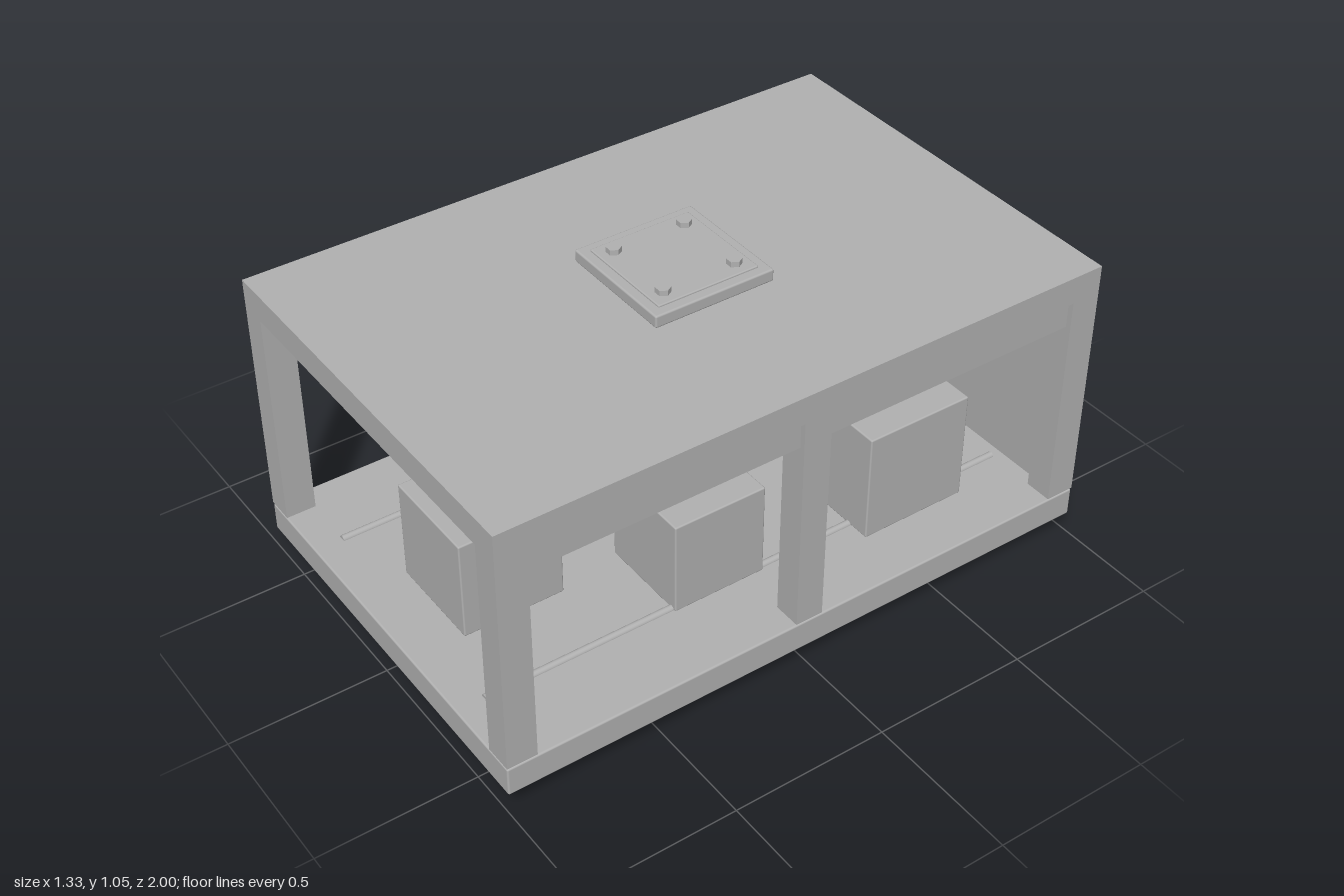
import * as THREE from 'three';
import { RoundedBoxGeometry } from 'three/addons/geometries/RoundedBoxGeometry.js';

export function createModel() {
  const model = new THREE.Group();
  const grey = new THREE.MeshStandardMaterial({ color: 0xb2b2b2 });
  grey.name = 'grey';

  const add = (name, geometry, x, y, z, parent = model) => {
    const mesh = new THREE.Mesh(geometry, grey);
    mesh.name = name;
    mesh.position.set(x, y, z);
    parent.add(mesh);
    return mesh;
  };
  // Box from its minimum and maximum on each axis, with optional rounded edges
  const box = (name, [x0, x1], [y0, y1], [z0, z1], r = 0, parent = model) => {
    const size = [x1 - x0, y1 - y0, z1 - z0];
    const geometry = r ? new RoundedBoxGeometry(...size, 2, r) : new THREE.BoxGeometry(...size);
    return add(name, geometry, (x0 + x1) / 2, (y0 + y1) / 2, (z0 + z1) / 2, parent);
  };

  const W = 0.663, IN = 0.573, FLOOR = 0.166, CEIL = 0.888;

  // Base, roof and back wall
  box('base', [-W, W], [0.07, FLOOR], [-1, 1], 0.006);
  box('roof', [-W, W], [CEIL, 0.977], [-1, 1]);
  box('backWall', [-IN, IN], [0.17, CEIL], [-1, -0.94]);

  for (const side of [-1, 1]) {
    const span = (a, b) => (side > 0 ? [a, b] : [-b, -a]);
    // Posts, standing on a narrow seam above the base
    for (const [name, z] of [['frontPost', [0.905, 1]], ['middlePost', [-0.045, 0.045]], ['backPost', [-1, -0.905]]]) {
      box(name, span(IN, W), [0.17, CEIL], z);
      box(name + 'Foot', span(IN + 0.006, W - 0.006), [0.16, 0.17], [z[0] + 0.006, z[1] - 0.006]);
    }
    // Upper side rails between the posts
    box('frontSideRail', span(0.59, 0.645), [0.797, 0.872], [0.045, 0.905]);
    box('backSideRail', span(0.59, 0.645), [0.797, 0.872], [-0.905, -0.045]);
    // Half-sunk floor track
    const track = add('floorTrack', new THREE.CylinderGeometry(0.012, 0.012, 1.82, 16), side * 0.4, 0.165, 0);
    track.rotation.x = Math.PI / 2;
  }
  box('backWallFoot', [-IN, IN], [0.16, 0.17], [-0.994, -0.946]);

  // Round ceiling fitting
  const lamp = [[0, 0.853], [0.09, 0.853], [0.097, 0.857], [0.1, 0.863], [0.1, 0.876], [0.09, 0.88], [0.09, 0.889]];
  add('ceilingDisc', new THREE.LatheGeometry(lamp.map(([x, y]) => new THREE.Vector2(x, y)), 48), 0, 0, 0);

  // Cube crates, each with a handle on the back: centre x, front z, edge length
  for (const [x, z, s] of [[-0.3, 0.42, 0.38], [0, 0.83, 0.33], [0.3, -0.35, 0.363], [0.265, 0.29, 0.31], [-0.27, -0.315, 0.3]]) {
    const crate = new THREE.Group();
    crate.name = 'crate';
    crate.position.set(x, FLOOR, z - s / 2);
    box('crateBody', [-s / 2, s / 2], [0, s], [-s / 2, s / 2], 0.005, crate);
    box('crateHandle', [-0.36 * s, 0.36 * s], [0.43 * s, 0.57 * s], [-s / 2 - 0.013, -s / 2 + 0.005], 0.003, crate);
    model.add(crate);
  }

  // Bolted mounting plates above and below
  for (const top of [true, false]) {
    const mount = new THREE.Group();
    mount.name = top ? 'topMount' : 'bottomMount';
    mount.position.y = top ? 0.977 : 0.07;
    if (!top) mount.rotation.x = Math.PI;
    box('mountNeck', [-0.185, 0.185], [-0.005, 0.012], [-0.185, 0.185], 0, mount);
    box('mountPlate', [-0.199, 0.199], [0.007, 0.047], [-0.199, 0.199], 0.006, mount);
    box('mountPad', [-0.168, 0.168], [0.04, 0.053], [-0.168, 0.168], 0.004, mount);
    for (const x of [-0.12, 0.12]) for (const z of [-0.12, 0.12]) {
      const bolt = add('hexBolt', new THREE.CylinderGeometry(0.023, 0.023, 0.025, 6).toNonIndexed(), x, 0.0575, z, mount);
      bolt.geometry.computeVertexNormals();
      bolt.rotation.y = Math.PI / 6;
    }
    model.add(mount);
  }
  return model;
}
